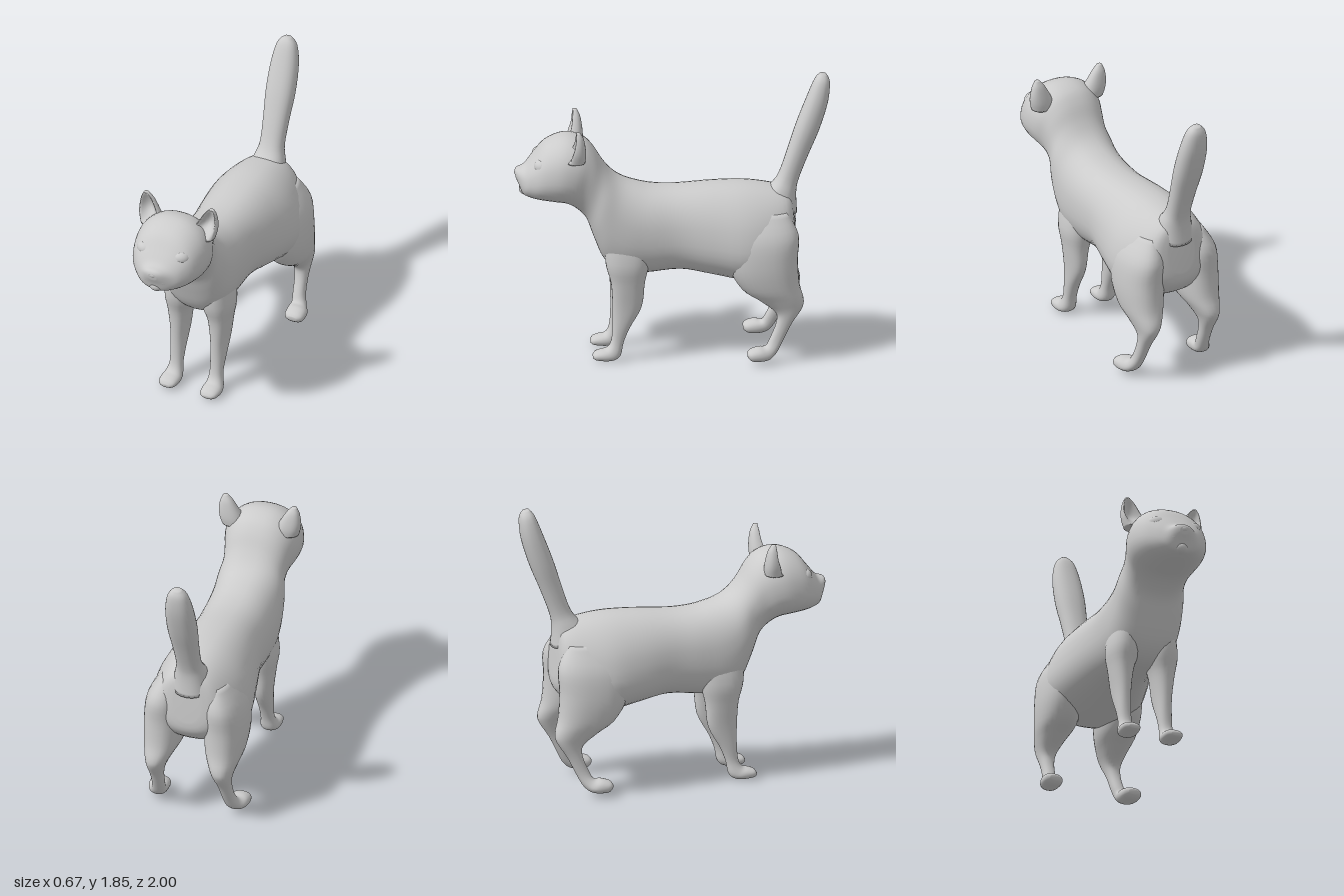
import * as THREE from 'three';
import { mergeVertices } from 'three/addons/utils/BufferGeometryUtils.js';

const material = new THREE.MeshStandardMaterial({ color: 0xcccccc });

function addMesh(parent, name, geometry) {
  const mesh = new THREE.Mesh(geometry, material);
  mesh.name = name;
  parent.add(mesh);
  return mesh;
}

// Smooth interpolation through a list of section rows
function sampleRows(rows, u) {
  const last = rows.length - 1;
  const i = Math.min(Math.floor(u * last), last - 1);
  const t = u * last - i;
  const [p0, p1, p2, p3] = [-1, 0, 1, 2].map((k) => rows[Math.min(Math.max(i + k, 0), last)]);
  return p1.map((b, k) => {
    const a = p0[k], c = p2[k], d = p3[k];
    return b + 0.5 * t * (c - a + t * (2 * a - 5 * b + 4 * c - d + t * (3 * (b - c) + d - a)));
  });
}

// Closed skin over rows [zA, yA, zB, yB, halfWidth, centreX, egg]:
// each ring spans from point A to point B in the side plane; egg widens the B side.
function loft(rows, side = 1, sub = 4, dent = 0, n = 28) {
  const full = rows.map(([za, ya, zb, yb, w, cx = 0, egg = 0]) => [za, ya, zb, yb, w, cx, egg]);
  const rings = (rows.length - 1) * sub;
  const pos = [], index = [];
  const round = (v) => Math.sign(v) * Math.abs(v) ** 0.88;
  for (let r = 0; r <= rings; r++) {
    const [za, ya, zb, yb, w, cx, egg] = sampleRows(full, r / rings);
    for (let j = 0; j < n; j++) {
      const a = (j / n) * Math.PI * 2;
      let c = round(Math.cos(a));
      const s = round(Math.sin(a));
      const x = side * (cx + w * s * (1 - egg * c));
      // optional hollow on the A side, used for the ears
      if (c > 0) c -= dent * Math.max(0, 1 - (s / 0.85) ** 2) * Math.sin((Math.PI * r) / rings);
      pos.push(x, (ya + yb) / 2 + ((ya - yb) / 2) * c, (za + zb) / 2 + ((za - zb) / 2) * c);
      if (r < rings) {
        const p = r * n + j, q = r * n + ((j + 1) % n);
        index.push(p, q, p + n, q, q + n, p + n);
      }
    }
  }
  // rounded-off end caps
  for (const [r, flip] of [[0, true], [rings, false]]) {
    const centre = pos.length / 3, sum = [0, 0, 0];
    for (let j = 0; j < n; j++) for (let k = 0; k < 3; k++) sum[k] += pos[(r * n + j) * 3 + k] / n;
    pos.push(...sum);
    for (let j = 0; j < n; j++) {
      const p = r * n + j, q = r * n + ((j + 1) % n);
      index.push(...(flip ? [q, p, centre] : [p, q, centre]));
    }
  }
  // make every face point outwards
  const at = (i) => new THREE.Vector3().fromArray(pos, i * 3);
  let volume = 0;
  for (let i = 0; i < index.length; i += 3) {
    volume += at(index[i]).dot(at(index[i + 1]).cross(at(index[i + 2])));
  }
  if (volume < 0) index.reverse();
  const g = new THREE.BufferGeometry();
  g.setAttribute('position', new THREE.Float32BufferAttribute(pos, 3));
  g.setIndex(index);
  const merged = mergeVertices(g, 1e-5);
  merged.computeVertexNormals();
  return merged;
}

function ellipsoid(parent, name, [x, y, z], [rx, ry, rz]) {
  const mesh = addMesh(parent, name, new THREE.SphereGeometry(1, 24, 16));
  mesh.position.set(x, y, z);
  mesh.scale.set(rx, ry, rz);
  return mesh;
}

// Rump to muzzle, A = back line, B = belly and throat line
const BODY = [
  [-0.76, 1.02, -0.785, 0.74, 0.09],
  [-0.73, 1.08, -0.77, 0.65, 0.19, 0, 0.1],
  [-0.62, 1.115, -0.66, 0.55, 0.27, 0, 0.2],
  [-0.45, 1.137, -0.47, 0.51, 0.31, 0, 0.22],
  [-0.25, 1.135, -0.25, 0.545, 0.28, 0, 0.15],
  [-0.02, 1.12, -0.05, 0.577, 0.24, 0, 0.06],
  [0.12, 1.125, 0.17, 0.555, 0.235],
  [0.22, 1.145, 0.33, 0.56, 0.235],
  [0.31, 1.175, 0.435, 0.65, 0.23],
  [0.38, 1.22, 0.5, 0.8, 0.222],
  [0.44, 1.29, 0.545, 0.92, 0.205],
  [0.5, 1.385, 0.6, 0.985, 0.215],
  [0.57, 1.45, 0.67, 1.03, 0.24, 0, 0.06],
  [0.68, 1.475, 0.75, 1.045, 0.245, 0, 0.08],
  [0.8, 1.43, 0.85, 1.06, 0.215, 0, 0.08],
  [0.88, 1.34, 0.915, 1.075, 0.165],
  [0.935, 1.275, 0.95, 1.095, 0.115],
  [0.985, 1.257, 0.972, 1.15, 0.065],
  [0.998, 1.235, 0.99, 1.19, 0.028],
];

// Legs run from hip or shoulder to toes, A = front edge, B = back edge
const HIND_LEG = [
  [-0.44, 0.98, -0.72, 0.98, 0.06, 0.16],
  [-0.34, 0.82, -0.79, 0.84, 0.12, 0.19],
  [-0.35, 0.63, -0.785, 0.68, 0.135, 0.2],
  [-0.43, 0.49, -0.795, 0.52, 0.12, 0.205],
  [-0.54, 0.415, -0.82, 0.42, 0.085, 0.215],
  [-0.64, 0.335, -0.81, 0.36, 0.058, 0.222],
  [-0.645, 0.26, -0.745, 0.26, 0.043, 0.228],
  [-0.602, 0.155, -0.69, 0.15, 0.04, 0.235],
  [-0.575, 0.115, -0.645, 0.07, 0.048, 0.25],
  [-0.53, 0.115, -0.59, 0.03, 0.065, 0.265],
  [-0.48, 0.1, -0.5, 0.026, 0.062, 0.27],
  [-0.46, 0.08, -0.464, 0.05, 0.03, 0.27],
];
const FRONT_LEG = [
  [0.43, 0.88, 0.14, 0.88, 0.06, 0.13],
  [0.43, 0.66, 0.15, 0.66, 0.1, 0.13],
  [0.395, 0.52, 0.18, 0.52, 0.075, 0.14],
  [0.385, 0.36, 0.2, 0.36, 0.055, 0.14],
  [0.385, 0.22, 0.275, 0.22, 0.046, 0.14],
  [0.395, 0.13, 0.315, 0.12, 0.043, 0.14],
  [0.42, 0.087, 0.335, 0.035, 0.055, 0.143],
  [0.46, 0.075, 0.39, 0.004, 0.064, 0.145],
  [0.495, 0.062, 0.48, 0.008, 0.055, 0.145],
  [0.512, 0.04, 0.508, 0.02, 0.026, 0.145],
];
const TAIL = [
  [-0.52, 1.03, -0.79, 0.93, 0.13],
  [-0.62, 1.11, -0.785, 1.06, 0.1],
  [-0.675, 1.19, -0.8, 1.15, 0.08],
  [-0.73, 1.35, -0.86, 1.31, 0.085],
  [-0.785, 1.52, -0.93, 1.48, 0.096],
  [-0.85, 1.69, -0.985, 1.66, 0.09],
  [-0.9, 1.81, -0.998, 1.79, 0.065],
  [-0.935, 1.853, -0.978, 1.845, 0.025],
];
const EAR = [
  [0.68, 1.35, 0.56, 1.35, 0.075, 0.18],
  [0.67, 1.42, 0.555, 1.4, 0.075, 0.195],
  [0.65, 1.47, 0.56, 1.46, 0.062, 0.21],
  [0.635, 1.525, 0.572, 1.52, 0.04, 0.222],
  [0.62, 1.56, 0.592, 1.56, 0.015, 0.23],
];

export function createModel() {
  const cat = new THREE.Group();
  cat.name = 'cat';
  addMesh(cat, 'bodyAndHead', loft(BODY, 1, 4, 0, 40));
  addMesh(cat, 'tail', loft(TAIL));

  // Mirrored parts
  for (const [side, label] of [[1, 'left'], [-1, 'right']]) {
    addMesh(cat, label + 'HindLeg', loft(HIND_LEG, side));
    addMesh(cat, label + 'FrontLeg', loft(FRONT_LEG, side));
    addMesh(cat, label + 'Ear', loft(EAR, side, 5, 1.5));
    const eye = ellipsoid(cat, label + 'Eye', [side * 0.128, 1.305, 0.835], [0.058, 0.046, 0.045]);
    eye.rotation.y = side * 0.45;
    ellipsoid(cat, label + 'MuzzlePad', [side * 0.045, 1.175, 0.925], [0.06, 0.042, 0.05]);
  }

  // Nose and chin
  ellipsoid(cat, 'nose', [0, 1.225, 0.965], [0.04, 0.03, 0.035]);
  ellipsoid(cat, 'chin', [0, 1.115, 0.925], [0.05, 0.04, 0.045]);
  return cat;
}
